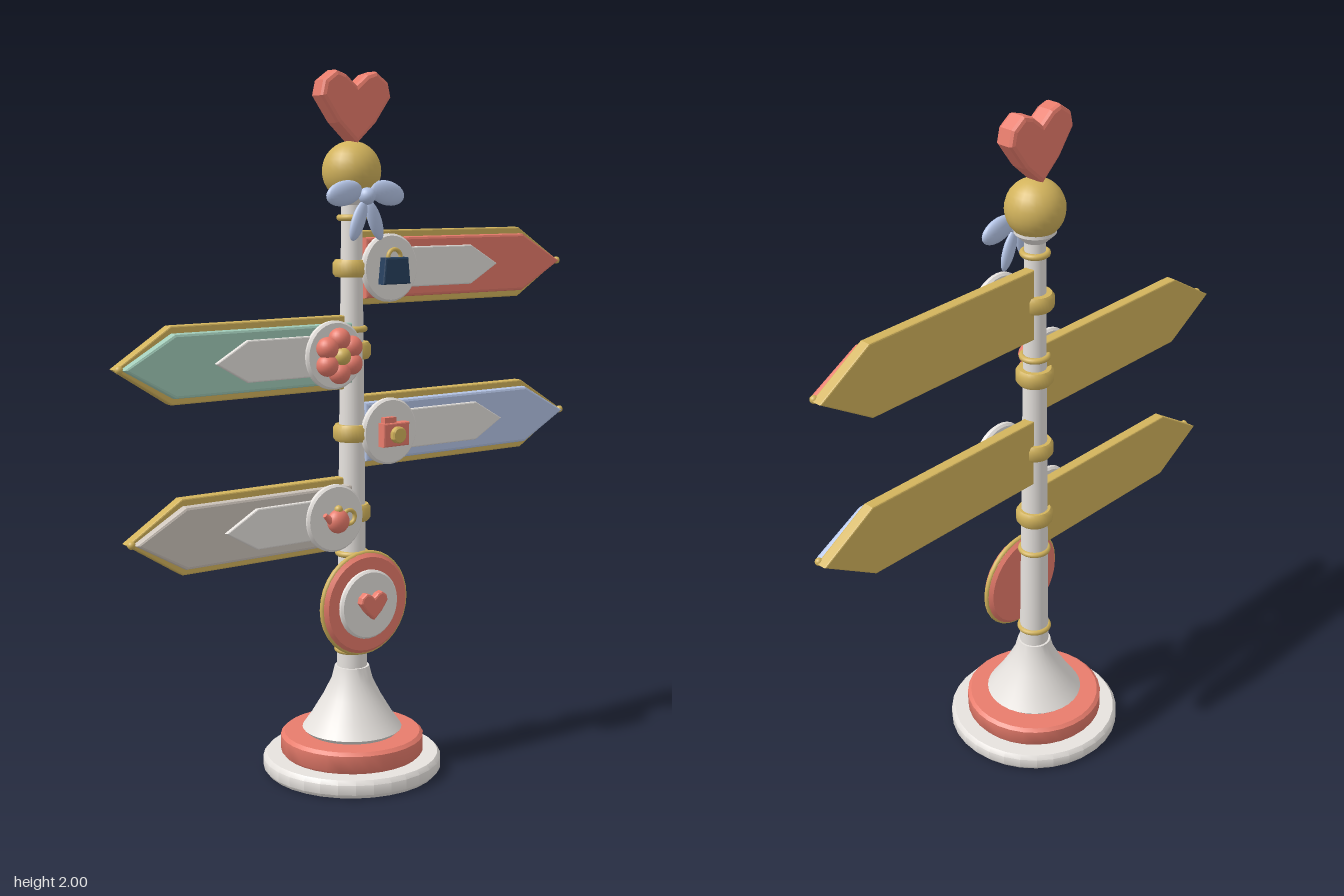
import * as THREE from 'three';
import { toCreasedNormals } from 'three/addons/utils/BufferGeometryUtils.js';

const mat = (color) => new THREE.MeshStandardMaterial({ color });
const CORAL = mat(0xe87c6c), GOLD = mat(0xd2b35c), CREAM = mat(0xe6e2de), BLUE = mat(0xb6c6e8);
const GREEN = mat(0xa2cdba), TAUPE = mat(0xcdc4bb), NAVY = mat(0x27415f);
const POLE_X = -0.027;

function add(parent, name, geometry, material, x = 0, y = 0, z = 0) {
  const mesh = new THREE.Mesh(geometry, material);
  mesh.name = name;
  mesh.position.set(x, y, z);
  parent.add(mesh);
  return mesh;
}

const lathe = (points, sides = 32) => toCreasedNormals(
  new THREE.LatheGeometry(points.map(([r, y]) => new THREE.Vector2(r, y)), sides), 0.7);

// Disc facing the front, with a small chamfer
function disc(r, depth, c = 0.006) {
  return lathe([[0, 0], [r - c, 0], [r, c], [r, depth - c], [r - c, depth], [0, depth]]).rotateX(Math.PI / 2);
}

// Outline extruded along z from 0 to depth, the bevel staying inside the outline
function plate(points, depth, bevel) {
  const shape = new THREE.Shape(points.map(([x, y]) => new THREE.Vector2(x, y)));
  const geometry = new THREE.ExtrudeGeometry(shape, {
    depth: depth - 2 * bevel, bevelEnabled: true, bevelSize: bevel, bevelThickness: bevel,
    bevelOffset: -bevel, bevelSegments: 2,
  });
  return geometry.translate(0, 0, bevel);
}

// Arrow outline from start to tip, pointing along dir
const arrow = (dir, start, shoulder, tip, h) =>
  [[start, -h], [shoulder, -h], [tip, 0], [shoulder, h], [start, h]].map(([x, y]) => [x * dir, y]);

function heart(s, depth, bevel) {
  const half = [[0.65, -0.42], [1.18, 0.3], [1.08, 0.72], [0.68, 1], [0.35, 0.9]];
  const points = [[0, -1], ...half, [0, 0.62], ...half.map(([x, y]) => [-x, y]).reverse()];
  return plate(points.map(([x, y]) => [x * s, y * s]), depth, bevel);
}

const ball = (r) => new THREE.SphereGeometry(r, 24, 16);
const ring = (r, tube, arc = Math.PI * 2) => new THREE.TorusGeometry(r, tube, 10, 32, arc);

// Badge pictures, each centred on its badge
const icons = {
  bag(g) {
    add(g, 'bagBody', plate([[-0.048, -0.045], [0.048, -0.045], [0.04, 0.03], [-0.04, 0.03]], 0.03, 0.005), NAVY);
    add(g, 'bagHandle', ring(0.022, 0.006, Math.PI), GOLD, 0, 0.03, 0.015);
  },
  flower(g) {
    for (let i = 0; i < 6; i++) {
      const a = Math.PI / 6 + i * Math.PI / 3;
      add(g, 'petal', ball(0.031), CORAL, 0.047 * Math.cos(a), 0.047 * Math.sin(a), 0.018);
    }
    add(g, 'flowerCentre', ball(0.025), GOLD, 0, 0, 0.03);
  },
  camera(g) {
    add(g, 'cameraBody', plate([[-0.046, -0.04], [0.046, -0.04], [0.046, 0.028], [-0.046, 0.028]], 0.03, 0.004), CORAL);
    add(g, 'cameraTop', new THREE.BoxGeometry(0.04, 0.016, 0.02), CORAL, -0.018, 0.036, 0.014);
    add(g, 'lens', disc(0.024, 0.024, 0.004), GOLD, 0, -0.006, 0.022);
  },
  teapot(g) {
    add(g, 'potBody', ball(0.034), CORAL, 0, -0.006, 0.01).scale.z = 0.8;
    add(g, 'potLid', ball(0.012), GOLD, 0, 0.028, 0.012);
    add(g, 'potHandle', ring(0.02, 0.006), GOLD, 0.036, 0.002, 0.012);
    const spout = add(g, 'spout', new THREE.CylinderGeometry(0.007, 0.012, 0.035, 12), CORAL, -0.034, 0.005, 0.012);
    spout.rotation.z = 0.8;
  },
};

function sign(name, dir, y, shoulder, tip, color, icon) {
  const g = new THREE.Group();
  g.name = name;
  g.position.y = y;
  const start = dir > 0 ? 0 : 0.045;
  add(g, 'backPlate', plate(arrow(dir, start, shoulder, tip, 0.104), 0.033, 0.004), GOLD, 0, 0, -0.024);
  add(g, 'frontPanel', plate(arrow(dir, start, shoulder, tip - 0.015, 0.085), 0.03, 0.008), color, 0, 0, 0.002);
  const inner = tip - 0.28;
  add(g, 'inlayArrow', plate(arrow(dir, 0.08, inner - 0.1, inner, 0.057), 0.014, 0.004), CREAM, 0, 0, 0.031);
  add(g, 'tipBead', ball(0.011), GOLD, dir * (tip - 0.01), 0, 0.011);
  const badge = new THREE.Group();
  badge.name = 'badge';
  badge.position.set(dir > 0 ? 0.07 : -0.122, 0, 0.035);
  add(badge, 'badgeDisc', disc(0.096, 0.022), CREAM);
  const picture = new THREE.Group();
  picture.name = icon;
  picture.position.z = 0.02;
  icons[icon](picture);
  badge.add(picture);
  g.add(badge);
  return g;
}

function bow() {
  const g = new THREE.Group();
  g.name = 'bow';
  g.position.set(POLE_X, 1.66, 0.066);
  add(g, 'knot', ball(0.024), BLUE, 0, 0, 0.006);
  for (const s of [-1, 1]) {
    const loop = add(g, 'bowLoop', ball(1), BLUE, s * 0.073, 0.008, 0);
    loop.scale.set(0.06, 0.034, 0.018);
    loop.rotation.z = -s * 0.2;
    const tail = add(g, 'bowTail', ball(1), BLUE, s * 0.028, -0.067, 0.004);
    tail.scale.set(0.022, 0.058, 0.012);
    tail.rotation.z = s * 0.38;
  }
  return g;
}

export function createModel() {
  const model = new THREE.Group();
  model.name = 'signpost';
  const post = new THREE.Group();
  post.name = 'post';
  post.position.x = POLE_X;
  model.add(post);

  // Stepped base, flared foot and tapered pole
  add(post, 'baseDisc', lathe([[0, 0], [0.25, 0], [0.26, 0.012], [0.26, 0.04], [0.25, 0.052], [0, 0.052]]), CREAM);
  add(post, 'baseStep', lathe([[0, 0.05], [0.2, 0.05], [0.208, 0.06], [0.208, 0.105], [0.198, 0.114], [0, 0.114]]), CORAL);
  add(post, 'foot', lathe([[0, 0.11], [0.13, 0.112], [0.145, 0.126], [0.118, 0.165], [0.085, 0.22],
    [0.06, 0.27], [0.05, 0.31], [0, 0.31]]), CREAM);
  add(post, 'pole', new THREE.CylinderGeometry(0.029, 0.044, 1.37, 24), CREAM, 0, 0.985, 0);

  // Gold rings on the pole and bands holding the signs
  for (const [y, r] of [[0.36, 0.043], [0.645, 0.04], [1.29, 0.036], [1.6, 0.034]])
    add(post, 'poleRing', ring(r, 0.009).rotateX(Math.PI / 2), GOLD, 0, y, 0);
  for (const y of [0.765, 0.995, 1.23, 1.46])
    add(post, 'signBand', lathe([[0.03, -0.024], [0.047, -0.024], [0.054, -0.014], [0.054, 0.014],
      [0.047, 0.024], [0.03, 0.024]]), GOLD, 0, y, 0);

  // Finial: collar, ball and heart
  add(post, 'collar', lathe([[0, 1.635], [0.032, 1.635], [0.058, 1.66], [0.058, 1.675], [0, 1.69]]), CREAM);
  add(post, 'finialBall', ball(0.083), GOLD, 0, 1.728, 0);
  add(post, 'finialHeart', heart(0.1, 0.06, 0.012), CORAL, 0, 1.9, -0.03);

  // Round plaque low on the pole
  const plaque = new THREE.Group();
  plaque.name = 'plaque';
  plaque.position.set(0, 0.508, 0.04);
  add(plaque, 'plaqueDisc', disc(0.146, 0.036, 0.01), CORAL);
  add(plaque, 'plaqueRim', ring(0.145, 0.008), GOLD, 0, 0, 0.018);
  add(plaque, 'plaqueCentre', disc(0.1, 0.02), CREAM, 0, 0, 0.03);
  add(plaque, 'plaqueHeart', heart(0.04, 0.026, 0.006), CORAL, 0, 0, 0.046);
  post.add(plaque);

  model.add(
    bow(),
    sign('topSign', 1, 1.46, 0.59, 0.755, CORAL, 'bag'),
    sign('upperSign', -1, 1.225, 0.615, 0.78, GREEN, 'flower'),
    sign('lowerSign', 1, 0.995, 0.61, 0.78, BLUE, 'camera'),
    sign('bottomSign', -1, 0.765, 0.59, 0.755, TAUPE, 'teapot'),
  );
  return model;
}
